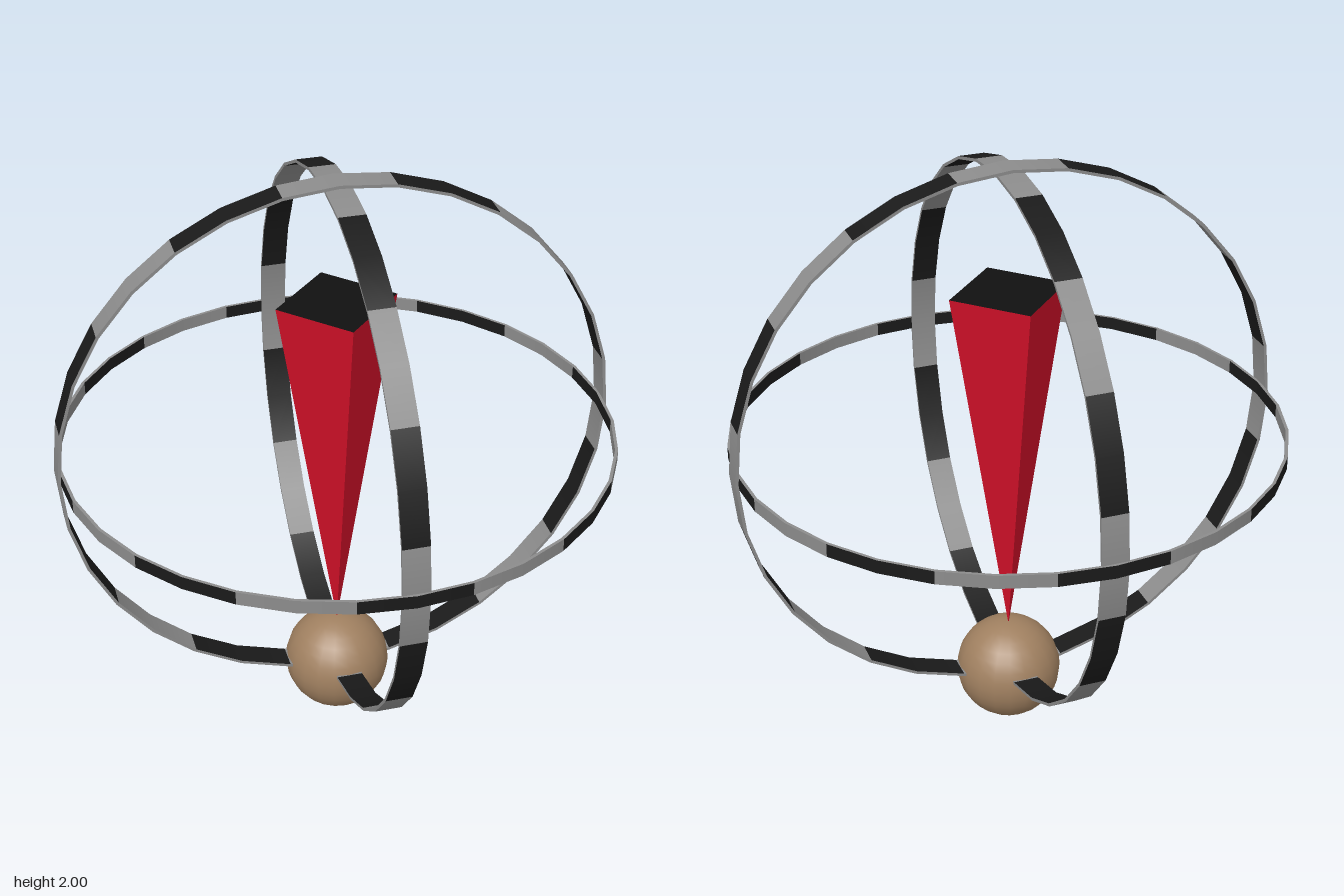
import * as THREE from 'three';

const paint = (color, side = THREE.FrontSide, flatShading = false) =>
  new THREE.MeshStandardMaterial({ color, side, flatShading });

const LIGHT = 0x8c8c8c, DARK = 0x1a1a1a;
const CENTRE_Y = 1.09, THICKNESS = 0.01, PATCHES = 16;

function addMesh(parent, name, geometry, material) {
  const mesh = new THREE.Mesh(geometry, material);
  mesh.name = name;
  parent.add(mesh);
  return mesh;
}

// Flat hoop around y, striped in two tones, with plain light rims
function makeHoop(name, radius, width, tones) {
  const hoop = new THREE.Group();
  hoop.name = name;
  const inner = radius - THICKNESS;
  const step = (Math.PI * 2) / PATCHES;
  const outside = tones.map((c) => paint(c));
  const inside = tones.map((c) => paint(c, THREE.BackSide));
  for (let i = 0; i < PATCHES; i++) {
    const band = (r) => new THREE.CylinderGeometry(r, r, width, 2, 1, true, (i - 0.5) * step, step);
    addMesh(hoop, 'outerStripe', band(radius), outside[i % 2]);
    addMesh(hoop, 'innerStripe', band(inner), inside[i % 2]);
  }
  const rimMaterial = paint(LIGHT);
  for (const s of [1, -1]) {
    const rim = new THREE.RingGeometry(inner, radius, PATCHES * 2);
    rim.rotateX(-s * Math.PI / 2).translate(0, s * width / 2, 0);
    addMesh(hoop, 'rim', rim, rimMaterial);
  }
  hoop.position.y = CENTRE_Y;
  return hoop;
}

export function createModel() {
  const model = new THREE.Group();
  model.name = 'hoopCage';

  // Three nested hoops, one per plane
  const sideHoop = makeHoop('frontFacingHoop', 0.91, 0.086, [LIGHT, DARK]);
  sideHoop.rotation.x = Math.PI / 2;
  const depthHoop = makeHoop('sideFacingHoop', 0.892, 0.086, [LIGHT, DARK]);
  depthHoop.rotation.z = Math.PI / 2;
  const levelHoop = makeHoop('levelHoop', 0.9, 0.044, [DARK, LIGHT]);
  model.add(sideHoop, depthHoop, levelHoop);

  // Base ball
  addMesh(model, 'baseBall', new THREE.SphereGeometry(0.177, 20, 16), paint(0xa08060)).position.y = 0.177;

  // Inverted four-sided spike with a black top, corners on the axes
  const top = 1.585, tip = 0.345, radius = 0.195;
  const spike = new THREE.CylinderGeometry(radius, 0, top - tip, 4, 1, true);
  addMesh(model, 'spike', spike, paint(0xd01028, THREE.FrontSide, true)).position.y = (top + tip) / 2;
  const cap = new THREE.CircleGeometry(radius, 4).rotateX(-Math.PI / 2);
  addMesh(model, 'spikeTop', cap, paint(0x111111)).position.y = top;

  return model;
}
